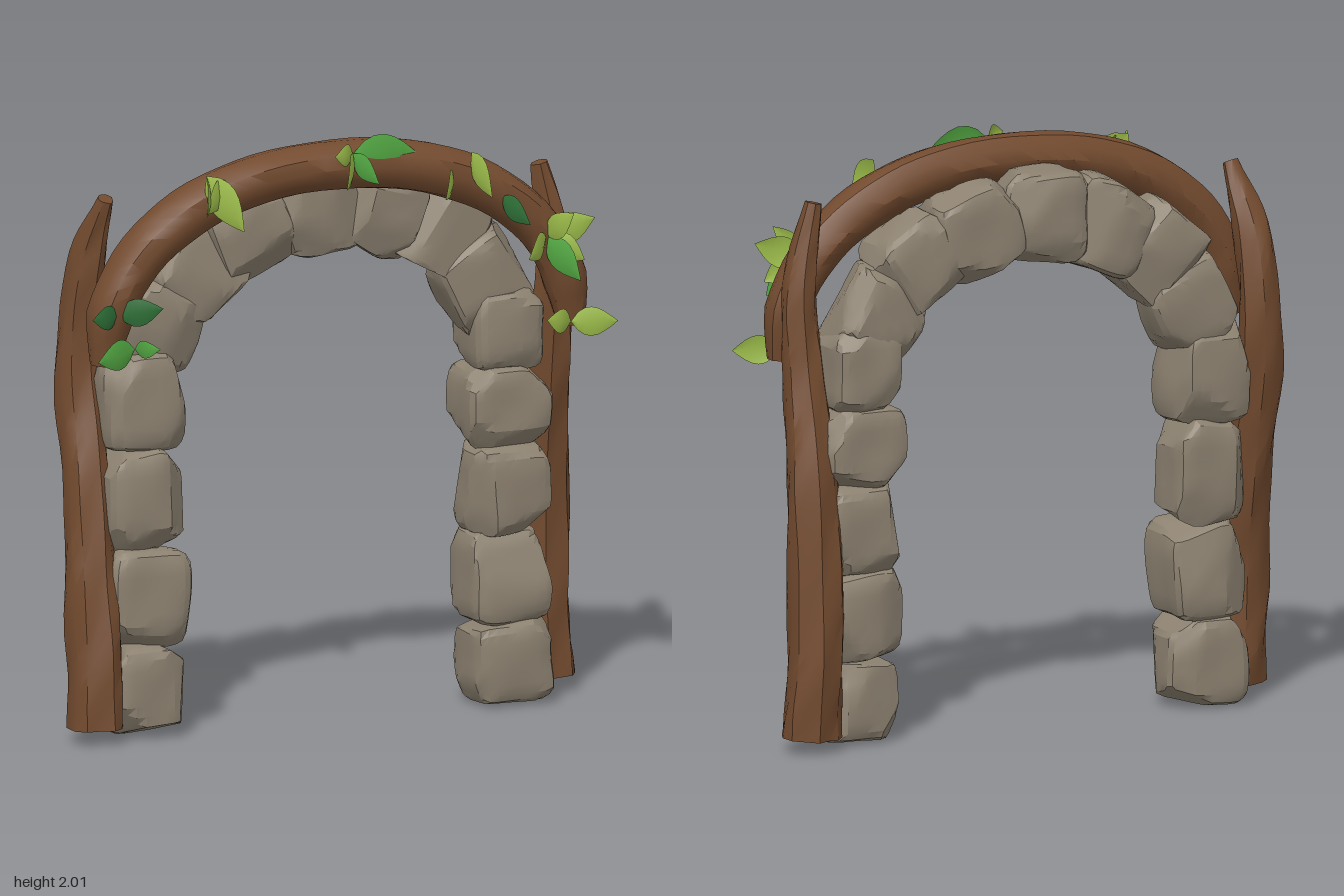
import * as THREE from 'three';
import { toCreasedNormals } from 'three/addons/utils/BufferGeometryUtils.js';

const material = (name, color, side = THREE.FrontSide) => {
  const m = new THREE.MeshStandardMaterial({ color, side });
  m.name = name;
  return m;
};

// Small seeded random numbers, -1 to 1
function seeded(seed) {
  let s = seed * 7919 + 17;
  return () => {
    s = (s * 16807) % 2147483647;
    return (s / 2147483647) * 2 - 1;
  };
}

// Rounded, lumpy block whose corners are chipped off by random planes
function stoneGeometry(w, h, d, seed) {
  const rnd = seeded(seed);
  for (let i = 0; i < 5; i++) rnd();
  const g = new THREE.BoxGeometry(2, 2, 2, 8, 8, 8);
  const cuts = [];
  for (let i = 0; i < 15; i++) {
    const n = new THREE.Vector3(rnd(), rnd(), rnd()).normalize();
    const reach = Math.abs(n.x) + Math.abs(n.y) + Math.abs(n.z);
    cuts.push([n, reach * (0.74 + 0.08 * rnd())]);
  }
  const p = g.attributes.position;
  const v = new THREE.Vector3();
  for (let i = 0; i < p.count; i++) {
    v.fromBufferAttribute(p, i);
    const lump = 1 + 0.035 * Math.sin(2.6 * v.x + seed) * Math.cos(2.9 * v.y - seed * 2) + 0.02 * Math.sin(3.4 * v.z + 3 * v.x + seed);
    v.multiplyScalar(lump / (Math.abs(v.x) ** 6 + Math.abs(v.y) ** 6 + Math.abs(v.z) ** 6) ** (1 / 6));
    for (const [n, limit] of cuts) {
      const over = v.dot(n) - limit;
      if (over > 0) v.addScaledVector(n, -over);
    }
    p.setXYZ(i, v.x * w / 2, v.y * h / 2, v.z * d / 2);
  }
  g.deleteAttribute('uv');
  return toCreasedNormals(g, 0.4);
}

// Closed gnarled limb; each row is x, y, z, radius
function limbGeometry(rows, rings, sides, rough, seed) {
  const curve = new THREE.CatmullRomCurve3(rows.map(r => new THREE.Vector3(r[0], r[1], r[2])));
  const g = new THREE.TubeGeometry(curve, rings, 1, sides);
  const p = g.attributes.position, n = g.attributes.normal;
  const rnd = seeded(seed);
  const ridges = Array.from({ length: sides }, () => rnd() * rough);
  const c = new THREE.Vector3();
  for (let i = 0; i <= rings; i++) {
    const u = THREE.MathUtils.clamp((i - 1) / (rings - 2), 0, 1);
    curve.getPoint(u, c);
    const k = Math.min(Math.floor(u * (rows.length - 1)), rows.length - 2);
    const radius = THREE.MathUtils.lerp(rows[k][3], rows[k + 1][3], u * (rows.length - 1) - k);
    const cap = i === 0 || i === rings ? 0 : 1;
    for (let j = 0; j <= sides; j++) {
      const m = j % sides;
      const swell = 0.6 * Math.sin(u * 19 + m / sides * Math.PI * 4 + seed) + 0.35 * Math.sin(i * 1.3 + m * 2.3);
      const r = cap * radius * (1 + ridges[m] + rough * swell);
      const q = i * (sides + 1) + j;
      p.setXYZ(q, c.x + n.getX(q) * r, c.y + n.getY(q) * r, c.z + n.getZ(q) * r);
    }
  }
  g.deleteAttribute('uv');
  return toCreasedNormals(g, 0.6);
}

// Pointed blade growing from its base, standing upright, folded on its midrib and bowed
function leafGeometry(x, y, degrees, length, lift) {
  const angle = THREE.MathUtils.degToRad(degrees);
  const base = new THREE.Vector3(x, y, 0.13);
  const reach = new THREE.Vector3(Math.cos(angle) * length, Math.sin(angle) * length, lift);
  const dir = reach.clone().normalize();
  const side = new THREE.Vector3(0, 1, 0).addScaledVector(dir, -dir.y).normalize();
  const out = dir.clone().cross(side);
  if (out.z < 0) out.negate();
  const g = new THREE.PlaneGeometry(1, 1, 2, 7);
  const p = g.attributes.position, v = new THREE.Vector3();
  for (let i = 0; i < p.count; i++) {
    const s = p.getX(i) * 2, t = p.getY(i) + 0.5;
    const half = Math.sin(Math.PI * t ** 0.8) * (0.02 + 0.2 * length);
    v.copy(base).addScaledVector(reach, t).addScaledVector(side, s * half)
      .addScaledVector(out, Math.sin(Math.PI * t) * 0.015 - Math.abs(s) * half * 0.25);
    p.setXYZ(i, v.x, v.y, v.z);
  }
  g.computeVertexNormals();
  return g;
}

export function createModel() {
  const stone = material('grey stone', 0x8d8271);
  const bark = material('brown bark', 0x734b2f);
  const light = material('light leaf', 0x9cbc4a, THREE.DoubleSide);
  const bright = material('bright leaf', 0x52a642, THREE.DoubleSide);
  const dark = material('dark leaf', 0x2e6f37, THREE.DoubleSide);

  const model = new THREE.Group();
  const group = name => {
    const g = new THREE.Group();
    g.name = name;
    model.add(g);
    return g;
  };
  model.name = 'stoneArch';
  const add = (name, geometry, mat, parent) => {
    const mesh = new THREE.Mesh(geometry, mat);
    mesh.name = name;
    parent.add(mesh);
    return mesh;
  };

  const stones = group('stones');
  let seed = 1;
  const placeStone = (name, x, y, w, h, d, turn) => {
    const mesh = add(name, stoneGeometry(w, h, d, seed++), stone, stones);
    mesh.position.set(x, y, -0.04 - 0.037 * y);
    mesh.rotation.z = turn;
  };

  // Stone columns, stacked between joint heights
  const column = (x, width, joints) => {
    for (let i = 1; i < joints.length; i++) {
      const y0 = joints[i - 1], y1 = joints[i];
      placeStone('columnStone', x, (y0 + y1) / 2, width, y1 - y0 + 0.015, 0.27, 0.03 * Math.sin(i * 2.3));
    }
  };
  column(-0.675, 0.285, [0.005, 0.305, 0.63, 0.975, 1.3]);
  column(0.637, 0.295, [0.01, 0.28, 0.58, 0.872, 1.142]);
  column(0.637, 0.25, [1.14, 1.42]);

  // Arch stones along an ellipse
  for (let i = 0; i < 7; i++) {
    const t = THREE.MathUtils.degToRad(160 - i * 22.2);
    const c = Math.cos(t), s = Math.sin(t);
    placeStone('archStone', 0.65 * c, 1.2 + 0.53 * s, 0.3, 0.315, 0.24, Math.atan2(-0.525 * c, 0.65 * s));
  }

  // Wooden posts beside the columns
  const wood = group('wood');
  add('rightPost', limbGeometry([
    [-0.865, 0.045, 0.025, 0.1], [-0.865, 0.4, 0, 0.09], [-0.855, 0.85, -0.085, 0.08],
    [-0.85, 1.25, -0.17, 0.075], [-0.835, 1.6, -0.135, 0.065], [-0.8, 1.83, -0.05, 0.028],
  ], 30, 14, 0.1, 3), bark, wood);
  add('leftPost', limbGeometry([
    [0.835, 0.045, -0.153, 0.1], [0.825, 0.4, -0.165, 0.092], [0.818, 0.9, -0.125, 0.088],
    [0.81, 1.25, -0.05, 0.067], [0.81, 1.55, -0.015, 0.06], [0.755, 1.83, -0.015, 0.028],
  ], 30, 14, 0.1, 8), bark, wood);

  // Bent branch over the front of the arch
  const branchRows = Array.from({ length: 15 }, (_, i) => {
    const t = Math.PI * (1 - i / 14);
    const c = Math.cos(t), s = Math.max(Math.sin(t), 0);
    const radius = i % 14 === 0 ? 0.047 : 0.078 + 0.009 * s;
    return [-0.008 + 0.845 * Math.sign(c) * Math.abs(c) ** 0.92, 1.29 + 0.61 * s ** 0.92, 0.065 - 0.01 * s, radius];
  });
  add('archBranch', limbGeometry(branchRows, 44, 12, 0.04, 5), bark, wood);

  // Leaf sprigs: base x and y, then leaves with direction, length and forward lift
  const sprigs = [
    [-0.77, 1.35, [bright, 188, 0.16, 0.06], [bright, 20, 0.05]],
    [-0.83, 1.47, [dark, 10, 0.14, 0.06], [dark, 180, 0.11, 0.04]],
    [-0.51, 1.92, [light, 297, 0.2], [light, 250, 0.13]],
    [-0.44, 1.9, [light, 222, 0.14, 0.08]],
    [0.02, 1.95, [light, 235, 0.12], [light, 175, 0.09, 0.06], [bright, 352, 0.26, -0.02], [bright, 300, 0.1]],
    [0.38, 1.86, [light, 225, 0.1]],
    [0.45, 1.92, [light, 282, 0.14]],
    [0.56, 1.76, [dark, 305, 0.1]],
    [0.72, 1.61, [light, 20, 0.17, 0.04], [light, 205, 0.12], [light, 60, 0.11], [light, 325, 0.14, 0.06], [bright, 300, 0.16]],
    [0.81, 1.31, [light, 0, 0.15, 0.05], [light, 168, 0.11, 0.05]],
  ];
  const foliage = group('leaves');
  for (const [x, y, ...blades] of sprigs) {
    for (const [mat, degrees, length, lift = 0.11] of blades) {
      add('leaf', leafGeometry(x, y, degrees, length, lift), mat, foliage);
    }
  }
  return model;
}
